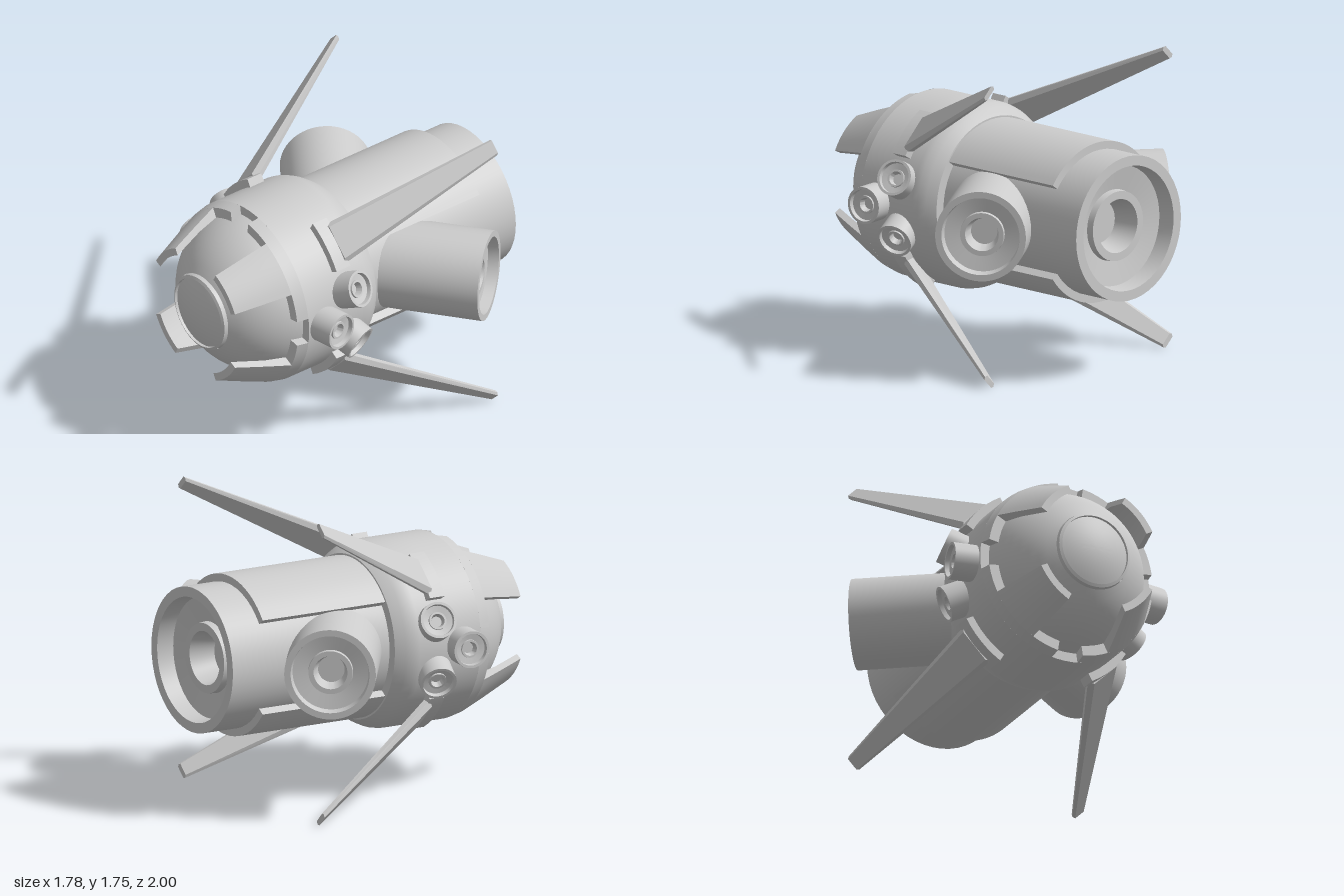
import * as THREE from 'three';
import { mergeGeometries, toCreasedNormals } from 'three/addons/utils/BufferGeometryUtils.js';

const RAD = Math.PI / 180;
const CREASE = 0.5;
const material = new THREE.MeshStandardMaterial({ color: 0xcccccc, side: THREE.DoubleSide });
const vec = ([x, y]) => new THREE.Vector2(x, y);

function add(parent, name, geometry) {
  const mesh = new THREE.Mesh(geometry, material);
  mesh.name = name;
  parent.add(mesh);
  return mesh;
}

// Surface of revolution about z; profile points are [radius, z].
function revolve(profile, segments = 64) {
  const g = new THREE.LatheGeometry(profile.map(vec), segments);
  return toCreasedNormals(g, CREASE).rotateX(Math.PI / 2);
}

// Solid slice of a ring about z, from angle a0 to a1 (degrees from +x towards +y).
// The profile is counter-clockwise in [radius, z].
function ringSlice(profile, a0, a1) {
  const start = (a0 + 90) * RAD, span = (a1 - a0) * RAD;
  const wall = new THREE.LatheGeometry([...profile, profile[0]].map(vec), Math.ceil((a1 - a0) / 5), start, span);
  const caps = [start, start + span].map((phi, i) => {
    const cap = new THREE.ShapeGeometry(new THREE.Shape(profile.map(vec)));
    if (i) cap.setIndex(Array.from(cap.index.array).reverse());
    return cap.rotateY(phi - Math.PI / 2);
  });
  const g = mergeGeometries([wall, ...caps].map((p) => p.toNonIndexed()));
  return toCreasedNormals(g, CREASE).rotateX(Math.PI / 2);
}

// Engine bell: tube with a recessed face, raised hub and deep throat, facing +z with its rim at z = 0.
function engine(R, length) {
  return revolve([
    [0, -length], [R, -length], [R, 0], [0.86 * R, 0], [0.83 * R, -0.24 * R],
    [0.49 * R, -0.3 * R], [0.48 * R, -0.2 * R], [0.37 * R, -0.2 * R],
    [0.29 * R, -0.55 * R], [0, -0.55 * R],
  ], 48);
}

function addEngine(parent, name, R, length, position, direction) {
  const mesh = add(parent, name, engine(R, length));
  mesh.position.set(...position);
  mesh.quaternion.setFromUnitVectors(new THREE.Vector3(0, 0, 1), new THREE.Vector3(...direction).normalize());
}

// Swept blade lofted between two six-sided sections: [centre x, y, z, half width, half thickness].
function finGeometry(sections) {
  const outline = [[-0.8, 1], [0.8, 1], [1, 0], [0.8, -1], [-0.8, -1], [-1, 0]];
  const s = Math.SQRT1_2;
  const pos = [], index = [];
  for (const [x, y, z, w, h] of sections) {
    for (const [t, r] of outline) pos.push(x + s * (t * w + r * h), y + s * (r * h - t * w), z);
  }
  for (let i = 0; i < 6; i++) {
    const j = (i + 1) % 6;
    index.push(i, j, 6 + i, j, 6 + j, 6 + i);
  }
  for (let i = 1; i < 5; i++) index.push(0, i + 1, i, 6, 6 + i, 7 + i);
  // Order the corners so that the faces look outward
  for (let i = 0; i < index.length; i += 3) [index[i + 1], index[i + 2]] = [index[i + 2], index[i + 1]];
  const g = new THREE.BufferGeometry();
  g.setAttribute('position', new THREE.Float32BufferAttribute(pos, 3));
  g.setIndex(index);
  const flat = g.toNonIndexed();
  flat.computeVertexNormals();
  // Check the winding against the blade centre and flip when it looks inward
  const p = flat.attributes.position, n = flat.attributes.normal;
  const a = new THREE.Vector3(), c = new THREE.Vector3(), nn = new THREE.Vector3();
  for (let i = 0; i < pos.length; i += 3) c.add(a.fromArray(pos, i));
  c.divideScalar(pos.length / 3);
  if (a.fromBufferAttribute(p, 0).sub(c).dot(nn.fromBufferAttribute(n, 0)) < 0) {
    g.setIndex(index.reverse());
    const flipped = g.toNonIndexed();
    flipped.computeVertexNormals();
    return flipped;
  }
  return flat;
}

export function createModel() {
  const model = new THREE.Group();
  model.name = 'podShip';
  const craft = new THREE.Group();
  craft.name = 'craft';
  craft.position.y = 0.885;
  model.add(craft);

  // Round cabin with a rimmed window in the nose
  const ball = [];
  for (let i = 0; i <= 24; i++) {
    const a = (-90 + (i / 24) * 152.3) * RAD;
    ball.push([0.495 * Math.cos(a), 0.5 + 0.495 * Math.sin(a)]);
  }
  ball[0][0] = 0;
  add(craft, 'cabinBall', revolve(ball));
  add(craft, 'windowRim', revolve([[0.23, 0.92], [0.226, 0.962], [0.21, 0.97], [0.208, 0.945]]));
  const dome = [];
  for (let i = 0; i <= 8; i++) {
    const r = 0.209 * (1 - i / 8);
    dome.push([r, 0.995 - 0.95 * r * r]);
  }
  add(craft, 'window', revolve(dome));

  // Outer shell around the cabin
  add(craft, 'shell', revolve([
    [0.38, 0.06], [0.475, 0.06], [0.512, 0.11], [0.533, 0.155], [0.54, 0.19], [0.54, 0.4],
    [0.54, 0.6], [0.475, 0.6], [0.475, 0.4],
  ]));

  // Notched front collar, gripping claws and fin mounts, one set per diagonal
  const collar = [[0.475, 0.6], [0.54, 0.6], [0.525, 0.67], [0.465, 0.67]];
  const claw = [[0.465, 0.67], [0.525, 0.67], [0.475, 0.8], [0.398, 0.99], [0.355, 0.99], [0.43, 0.8]];
  const mount = [[0.52, 0.275], [0.588, 0.275], [0.588, 0.375], [0.52, 0.375]];
  for (let q = 0; q < 4; q++) {
    const a = q * 90;
    add(craft, 'collar', ringSlice(collar, a + 8.7, a + 81.3));
    add(craft, 'claw', ringSlice(claw, a + 27, a + 63));
    add(craft, 'finMount', ringSlice(mount, a + 30, a + 60));
  }

  // Four swept fins
  for (const sx of [1, -1]) {
    for (const sy of [1, -1]) {
      add(craft, 'fin', finGeometry([
        [sx * 0.395, sy * 0.39, 0.3, 0.125, 0.035],
        [sx * 0.715, sy * 0.838, -0.6, 0.048, 0.016],
      ].map(([x, y, z, w, h]) => [x * sx, y * sy, z, w, h])).applyMatrix4(
        new THREE.Matrix4().makeScale(sx, sy, 1)));
    }
  }

  // Main engine barrel with raised plates above and below
  addEngine(craft, 'mainEngine', 0.42, 1.2, [0, 0, -1], [0, 0, -1]);
  const plate = [[0.4, -0.77], [0.465, -0.77], [0.465, 0.08], [0.4, 0.08]];
  add(craft, 'topPlate', ringSlice(plate, 36, 144));
  add(craft, 'bottomPlate', ringSlice(plate, 216, 324));

  // Angled side engines and clusters of three small thrusters
  for (const s of [1, -1]) {
    addEngine(craft, 'sideEngine', 0.26, 0.72, [s * 0.735, 0, -0.55], [s * 0.805, 0, -0.594]);
    addEngine(craft, 'middleThruster', 0.107, 0.22, [s * 0.66, 0, 0.46], [s * 0.98, 0, -0.17]);
    for (const v of [1, -1]) {
      addEngine(craft, 'thruster', 0.105, 0.22, [s * 0.6, v * 0.185, 0.275], [s * 0.87, v * 0.4, -0.28]);
    }
  }
  return model;
}
